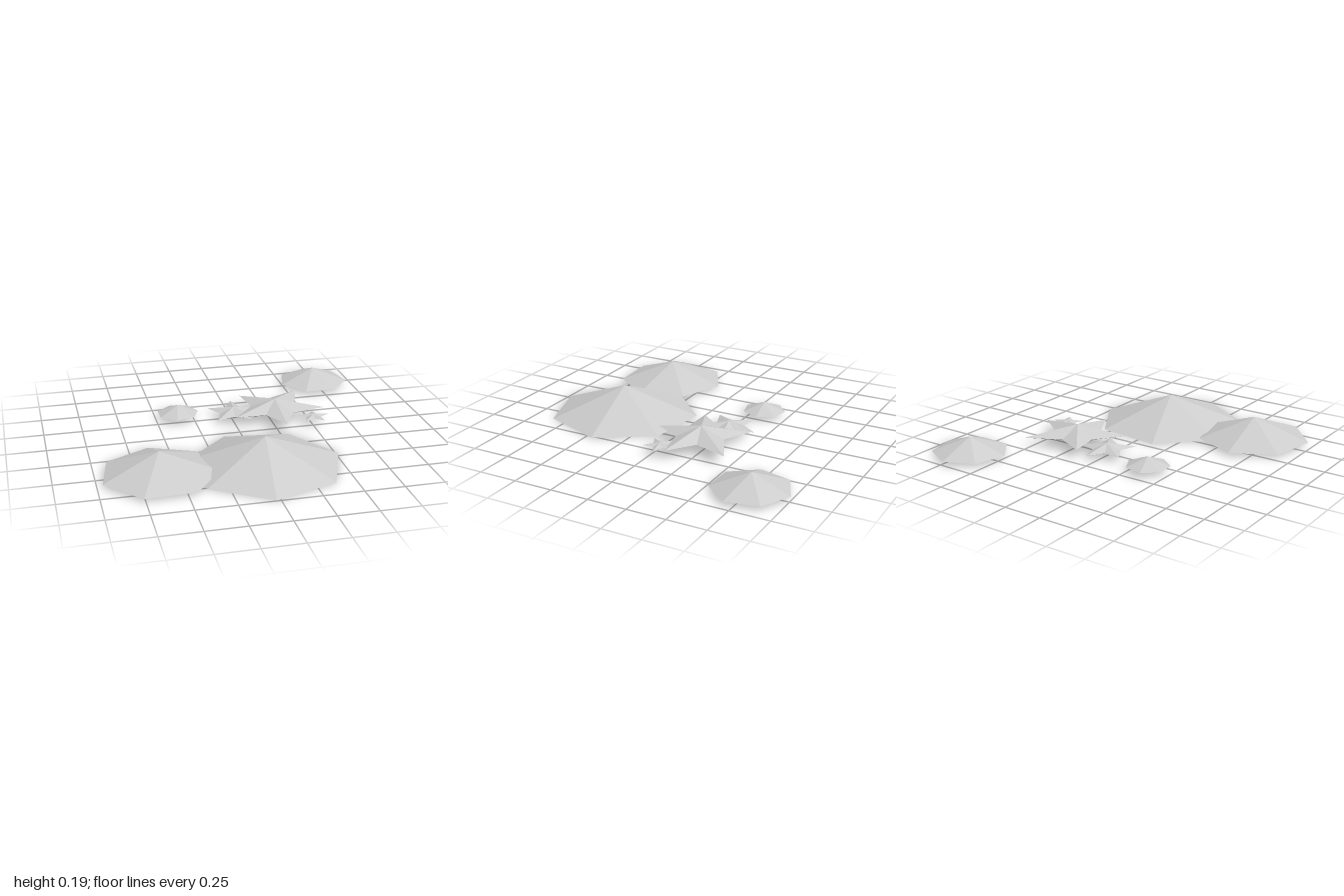
import * as THREE from 'three';

export function createModel() {
  const model = new THREE.Group();
  const shell = new THREE.MeshStandardMaterial({ color: 0xcccccc });
  shell.name = 'paleGrey';
  shell.flatShading = true;
  shell.side = THREE.DoubleSide;

  const rad = THREE.MathUtils.degToRad;
  const polar = (r, deg) => [r * Math.cos(rad(deg)), r * Math.sin(rad(deg))];

  // Hollow seven-sided cone shell; deg is the direction of one rim corner from +x towards +z
  function limpet(name, x, z, base, top, radius, deg) {
    const geo = new THREE.ConeGeometry(radius, top - base, 7, 1, true, Math.PI / 2 - rad(deg));
    const mesh = new THREE.Mesh(geo, shell);
    mesh.name = name;
    mesh.position.set(x, (base + top) / 2, z);
    model.add(mesh);
  }

  // Starfish: a flat star outline joined to a peak above and a peak below
  function starfish(name, x, y, z, height, tips, innerRadius, innerDeg) {
    const rim = [];
    tips.forEach((tip, i) => rim.push(tip, polar(innerRadius, innerDeg + i * 72)));
    const pos = [];
    rim.forEach(([ax, az], i) => {
      const [bx, bz] = rim[(i + 1) % rim.length];
      pos.push(0, height, 0, bx, 0, bz, ax, 0, az);
      pos.push(0, -height, 0, ax, 0, az, bx, 0, bz);
    });
    const geo = new THREE.BufferGeometry();
    geo.setAttribute('position', new THREE.Float32BufferAttribute(pos, 3));
    geo.computeVertexNormals();
    const mesh = new THREE.Mesh(geo, shell);
    mesh.name = name;
    mesh.position.set(x, y, z);
    model.add(mesh);
  }

  // Cone shells
  limpet('largeShell', 0.035, 0.51, 0, 0.185, 0.487, -5.8);
  limpet('mediumShell', -0.617, 0.51, 0.02, 0.155, 0.362, -92.4);
  limpet('backShell', 0.725, -0.755, 0.025, 0.12, 0.245, -88.5);
  limpet('smallShell', -0.35, -0.34, 0.035, 0.09, 0.14, -1);

  // Starfish, tips listed in order of turn from +x towards +z
  starfish('largeStarfish', 0.29, 0.07, -0.205, 0.06,
    [[0.225, -0.27], [0.322, 0.08], [0, 0.305], [-0.297, 0.127], [-0.185, -0.255]], 0.16, -18);
  starfish('mediumStarfish', 0.015, 0.04, -0.26, 0.035,
    [[0.025, -0.19], polar(0.19, -10), polar(0.19, 60), [-0.135, 0.135], [-0.157, -0.097]], 0.094, -46);
  starfish('smallStarfish', 0.51, 0.05, -0.035, 0.018,
    [[0.018, -0.085], [0.11, -0.015], [0.053, 0.09], [-0.075, 0.08], [-0.105, -0.045]], 0.05, -46);

  return model;
}
